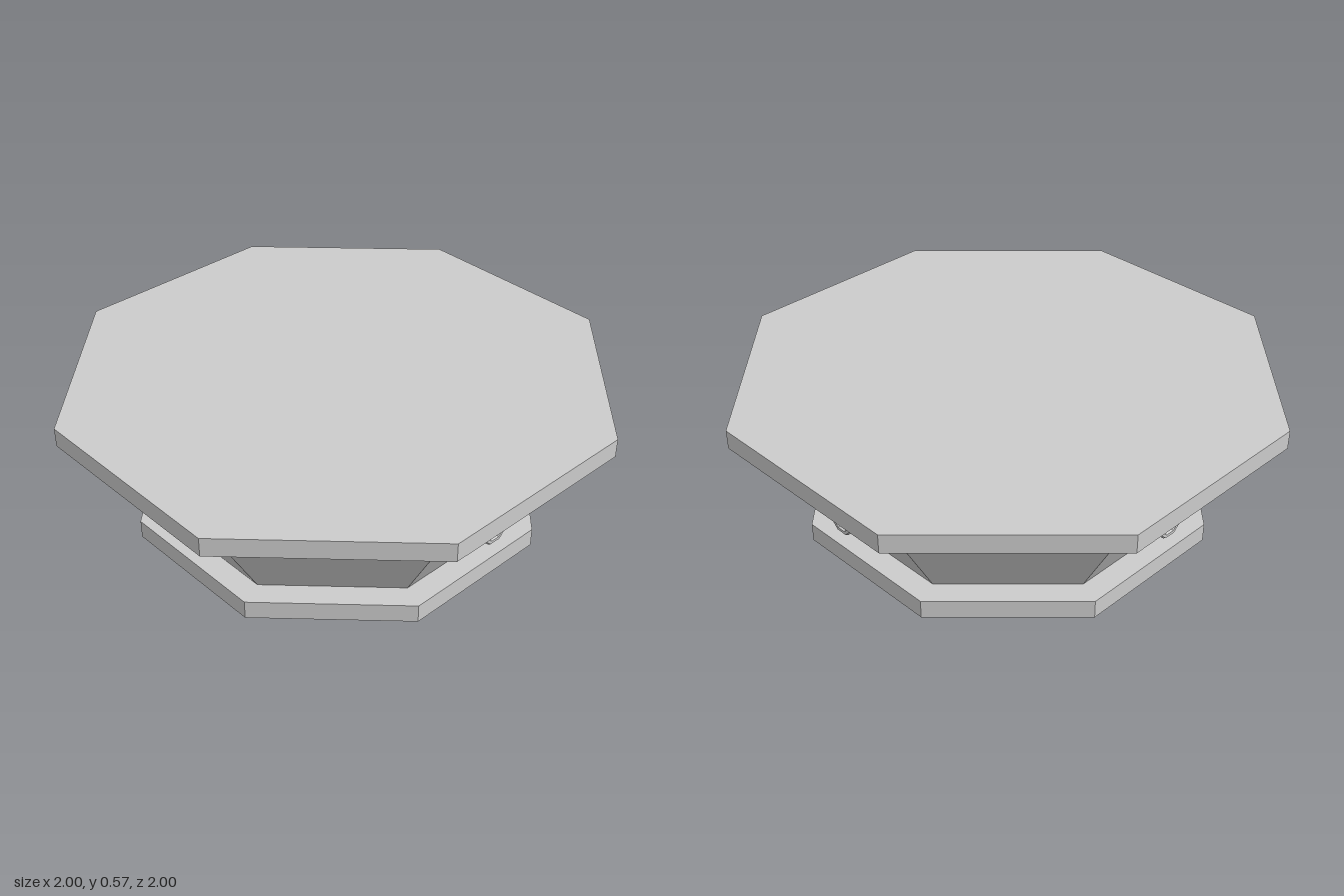
import * as THREE from 'three';

const SIDES = 8;
const TURN = THREE.MathUtils.degToRad(23.4); // first corner, slightly off a regular alignment

export function createModel() {
  const model = new THREE.Group();
  model.name = 'octagonalPedestal';
  const material = new THREE.MeshStandardMaterial({ color: 0xcccccc, flatShading: true });

  const add = (parent, name, geometry) => {
    const mesh = new THREE.Mesh(geometry, material);
    mesh.name = name;
    parent.add(mesh);
    return mesh;
  };

  // Eight-sided solid between two heights
  const octagon = (name, bottomRadius, topRadius, y0, y1) => {
    const geometry = new THREE.CylinderGeometry(topRadius, bottomRadius, y1 - y0, SIDES, 1, false, TURN);
    add(model, name, geometry.translate(0, (y0 + y1) / 2, 0));
  };
  octagon('basePlate', 0.806, 0.806, 0, 0.075);
  octagon('flaredBody', 0.705, 0.98, 0.075, 0.5);
  octagon('topPlate', 1.075, 1.075, 0.5, 0.575);

  // Round stud with a raised rim on each of the four main sides
  ['front', 'left', 'back', 'right'].forEach((side, i) => {
    const stud = new THREE.Group();
    stud.name = side + 'Stud';
    stud.rotation.y = i * Math.PI / 2;

    const core = new THREE.CylinderGeometry(0.054, 0.054, 0.11, 8);
    add(stud, 'studCore', core.rotateX(Math.PI / 2)).position.set(0, 0.305, 0.757);

    const rim = add(stud, 'studRim', new THREE.TorusGeometry(0.053, 0.012, 6, 8));
    rim.position.set(0, 0.305, 0.814);
    rim.rotation.z = Math.PI / 8;

    model.add(stud);
  });

  return model;
}
